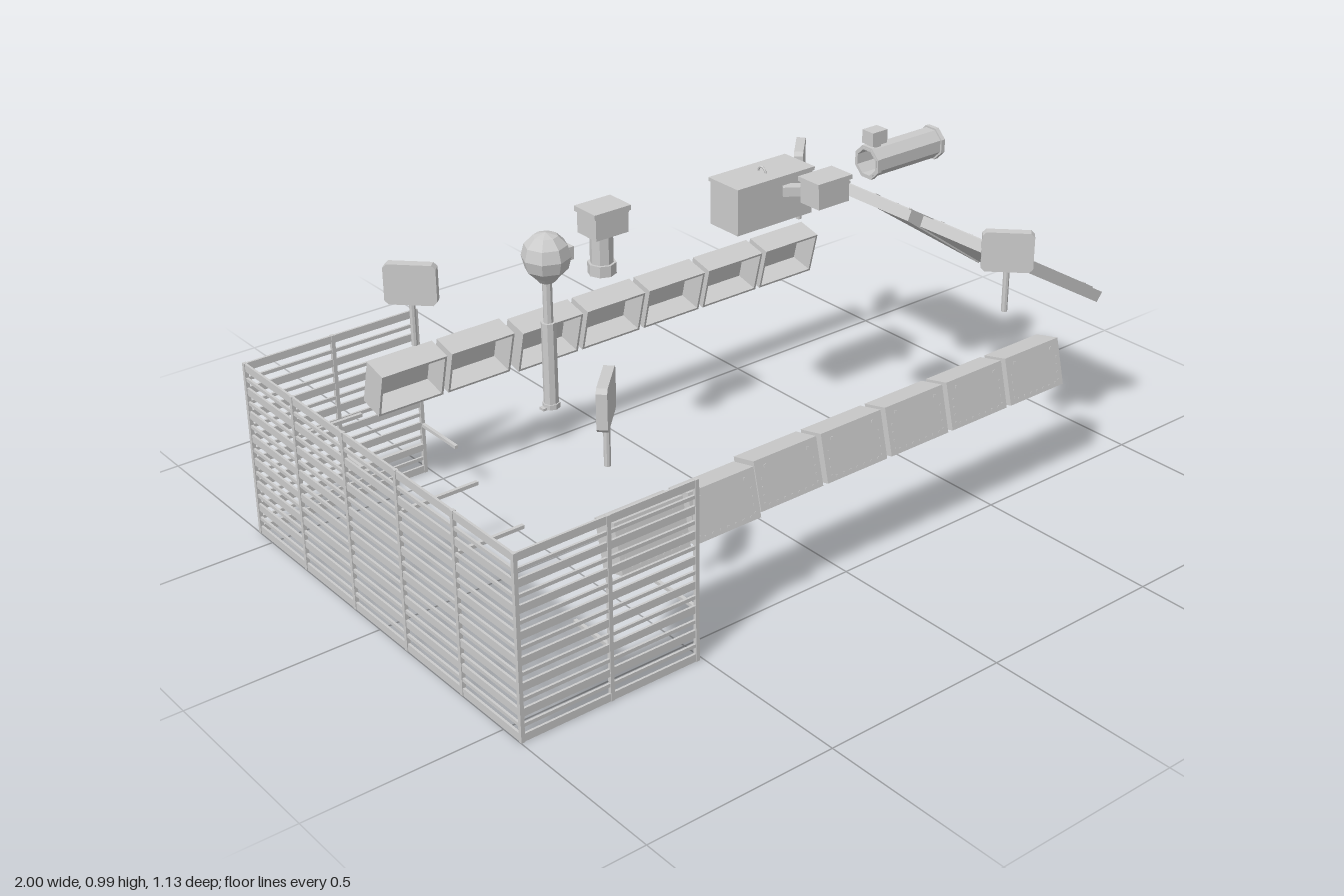
import * as THREE from 'three';

const mat = new THREE.MeshStandardMaterial({ color: 0xcccccc, flatShading: true, side: THREE.DoubleSide });

function add(parent, name, geo, x = 0, y = 0, z = 0) {
  const m = new THREE.Mesh(geo, mat);
  m.name = name;
  m.position.set(x, y, z);
  parent.add(m);
  return m;
}
const box = (p, name, w, h, d, x, y, z) => add(p, name, new THREE.BoxGeometry(w, h, d), x, y, z);
const cyl = (p, name, r0, r1, h, x, y, z, n = 8) => add(p, name, new THREE.CylinderGeometry(r1, r0, h, n), x, y, z);
function group(parent, name, x = 0, y = 0, z = 0) {
  const g = new THREE.Group();
  g.name = name;
  g.position.set(x, y, z);
  parent.add(g);
  return g;
}

// Slatted cage: one long rear wall and two short side walls
function slatCage(root) {
  const cage = group(root, 'slatCage');
  const zs = 0.562, x0 = -0.995, x1 = -0.515;
  for (let i = 0; i < 15; i++) {
    const y = 0.01 + i * 0.0321;
    const h = i % 2 ? 0.009 : 0.02;
    box(cage, 'rearSlat', 0.006, h, 2 * zs, x0, y, 0);
    for (const s of [1, -1]) box(cage, 'sideSlat', x1 - x0, h, 0.006, (x0 + x1) / 2, y, s * zs);
  }
  for (const z of [-zs, -0.337, -0.112, 0.112, 0.337, zs]) box(cage, 'rearUpright', 0.01, 0.47, 0.01, x0, 0.235, z);
  for (const s of [1, -1])
    for (const x of [-0.755, x1]) box(cage, 'sideUpright', 0.01, 0.47, 0.01, x, 0.235, s * zs);
  // Mounting arms pointing inward
  for (const [z, len] of [[-0.34, 0.18], [-0.117, 0.21], [0.11, 0.21], [0.333, 0.18]])
    box(cage, 'rearArm', len, 0.009, 0.009, x0 + len / 2, 0.36, z);
  for (const s of [1, -1])
    for (const [x, len] of [[-0.755, 0.13], [x1, 0.16]])
      box(cage, 'sideArm', 0.009, 0.009, len, x, 0.14, s * (zs - len / 2));
}

// Open-backed skirt tray, outer face toward local +z
function skirtTray(parent, x, z, side) {
  const holder = group(parent, 'skirtTray', x, 0.33, z);
  if (side < 0) holder.rotation.y = Math.PI;
  const t = group(holder, 'tray');
  t.rotation.x = -0.24;
  const w = 0.19, h = 0.123, d = 0.072, k = 0.006;
  box(t, 'outerPlate', w, h, k, 0, 0, d / 2 - k / 2);
  for (const s of [1, -1]) {
    box(t, 'edgeFlange', w, k, d, 0, s * (h / 2 - k / 2), 0);
    box(t, 'endFlange', k, h, d, s * (w / 2 - k / 2), 0, 0);
    box(t, 'bolt', 0.007, 0.007, 0.004, s * 0.065, 0.042, d / 2);
    for (let j = 0; j < 4; j++) box(t, 'rivet', 0.004, 0.004, 0.003, s * 0.08, 0.015 - j * 0.02, d / 2);
  }
  for (let j = -3; j <= 3; j++) box(t, 'rivet', 0.005, 0.004, 0.003, j * 0.022, -0.05, d / 2);
}

// Sloped nose panel; its inner lower corner drops into a wedge
function nosePanel(root, side) {
  const p = group(root, 'nosePanel', 0.84, 0.488, side * 0.207);
  p.rotation.z = -Math.atan2(0.18, 0.305);
  const L = 0.352, W = 0.368, T = 0.03;
  const geo = new THREE.BoxGeometry(L, T, W, 1, 1, 3);
  const a = geo.attributes.position;
  for (let i = 0; i < a.count; i++) {
    if (a.getY(i) > 0) continue;
    const inner = a.getZ(i) * side < -W / 2 + 0.01;
    if (a.getX(i) > 0 && inner) a.setY(i, -T / 2 - 0.03);
    a.setX(i, a.getX(i) * 0.98);
  }
  geo.computeVertexNormals();
  add(p, 'plate', geo);
  const l = L - 0.035, w = W - 0.045, y = T / 2 + 0.001;
  for (const s of [1, -1]) {
    box(p, 'rimLong', l, 0.004, 0.004, 0, y, s * w / 2);
    box(p, 'rimShort', 0.004, 0.004, w, s * l / 2, y, 0);
    for (const q of [1, -1]) cyl(p, 'bolt', 0.005, 0.005, 0.008, s * (l / 2 - 0.02), y, q * (w / 2 - 0.015));
  }
  box(p, 'latch', 0.018, 0.008, 0.007, -l / 2 + 0.04, y, 0);
}

// Radial plate on a thin post, one for each corner
function cornerPlate(root, sx, sz) {
  const g = group(root, 'cornerPlate', sx * 0.625, 0, sz * 0.39);
  g.rotation.y = -sx * sz * Math.PI / 4;
  const s = new THREE.Shape();
  const w = 0.065, b = 0.053, c = 0.01;
  s.moveTo(-w + c, -b); s.lineTo(w - c, -b); s.lineTo(w, -b + c); s.lineTo(w, b - c);
  s.lineTo(w - c, b); s.lineTo(-w + c, b); s.lineTo(-w, b - c); s.lineTo(-w, -b + c);
  add(g, 'plate', new THREE.ExtrudeGeometry(s, { depth: 0.025, bevelEnabled: false }), 0, 0.633, -0.0125);
  cyl(g, 'post', 0.008, 0.008, 0.12, 0, 0.528, 0);
}

// Mast with a faceted ball head
function mast(root) {
  const g = group(root, 'mast', -0.675, 0, 0.255);
  cyl(g, 'foot', 0.02, 0.02, 0.012, 0, 0.582, 0);
  box(g, 'footTab', 0.025, 0.006, 0.015, -0.014, 0.578, 0);
  cyl(g, 'lowerPole', 0.017, 0.017, 0.205, 0, 0.68, 0);
  cyl(g, 'upperPole', 0.011, 0.011, 0.13, 0, 0.835, 0);
  cyl(g, 'collar', 0.018, 0.03, 0.014, 0, 0.886, 0);
  add(g, 'ballHead', new THREE.SphereGeometry(0.055, 8, 6), 0, 0.938, 0);
  box(g, 'sensorWindow', 0.012, 0.03, 0.048, 0.05, 0.938, 0);
}

// Open eight-sided tube with end rings and a small sight box
function launchTube(root) {
  const g = group(root, 'tube', 0.625, 0.78, -0.002);
  const prof = (r, ri, h) => {
    const pts = [[ri, -h], [r, -h], [r, h], [ri, h], [ri, -h]].map(p => new THREE.Vector2(...p));
    const geo = new THREE.LatheGeometry(pts, 8, Math.PI / 8);
    geo.rotateZ(Math.PI / 2);
    return geo;
  };
  add(g, 'barrel', prof(0.041, 0.035, 0.12));
  for (const s of [1, -1]) add(g, 'endRing', prof(0.046, 0.036, 0.006), s * 0.113);
  box(g, 'sightBracket', 0.03, 0.015, 0.02, -0.095, 0.044, 0);
  box(g, 'sightBox', 0.05, 0.036, 0.04, -0.093, 0.066, 0);
  box(g, 'sightLens', 0.006, 0.02, 0.026, -0.067, 0.066, 0);
}

// Small lidded sensor box, large storage box and pedestal sight
function roofBoxes(root) {
  const a = group(root, 'sensorBox', 0.29, 0.79, 0.078);
  box(a, 'body', 0.1, 0.062, 0.068, 0, -0.005, 0);
  box(a, 'lid', 0.112, 0.012, 0.076, 0, 0.028, 0);
  box(a, 'window', 0.006, 0.03, 0.05, 0.052, -0.008, 0);
  box(a, 'windowHood', 0.012, 0.005, 0.056, 0.054, 0.01, 0);

  const b = group(root, 'storageBox', 0.288, 0.697, -0.158);
  box(b, 'body', 0.25, 0.125, 0.108, 0, 0, 0);
  box(b, 'lid', 0.258, 0.01, 0.116, 0, 0.06, 0);
  const arc = add(b, 'handle', new THREE.TorusGeometry(0.014, 0.003, 5, 8, Math.PI), 0, 0.064, 0);
  arc.rotation.y = Math.PI / 2;
  const side = box(b, 'sideUnit', 0.065, 0.025, 0.03, 0.05, 0.025, 0.072);
  side.rotation.y = -0.6;

  const c = group(root, 'pedestalSight', -0.155, 0, -0.252);
  cyl(c, 'base', 0.037, 0.037, 0.03, 0, 0.59, 0);
  cyl(c, 'column', 0.03, 0.03, 0.085, 0, 0.645, 0);
  const head = new THREE.BoxGeometry(0.1, 0.06, 0.078);
  add(c, 'head', head, 0.006, 0.713, 0);
  box(c, 'lid', 0.112, 0.014, 0.086, 0.006, 0.748, 0);
  box(c, 'window', 0.006, 0.035, 0.056, 0.057, 0.714, 0);
  box(c, 'windowHood', 0.01, 0.005, 0.064, 0.058, 0.734, 0);
}

export function createModel() {
  const root = new THREE.Group();
  root.name = 'armourKit';
  slatCage(root);
  // Seven skirt trays per side, the rear two set slightly wider
  for (const s of [1, -1])
    for (let i = 0; i < 7; i++) {
      const z = (i < 2 ? 0.482 : 0.465) + (s < 0 ? 0.005 : 0);
      skirtTray(root, -0.6 + i * 0.205, s * z, s);
    }
  for (const s of [1, -1]) {
    nosePanel(root, s);
    for (const q of [1, -1]) cornerPlate(root, q, s);
  }
  mast(root);
  launchTube(root);
  roofBoxes(root);
  return root;
}
